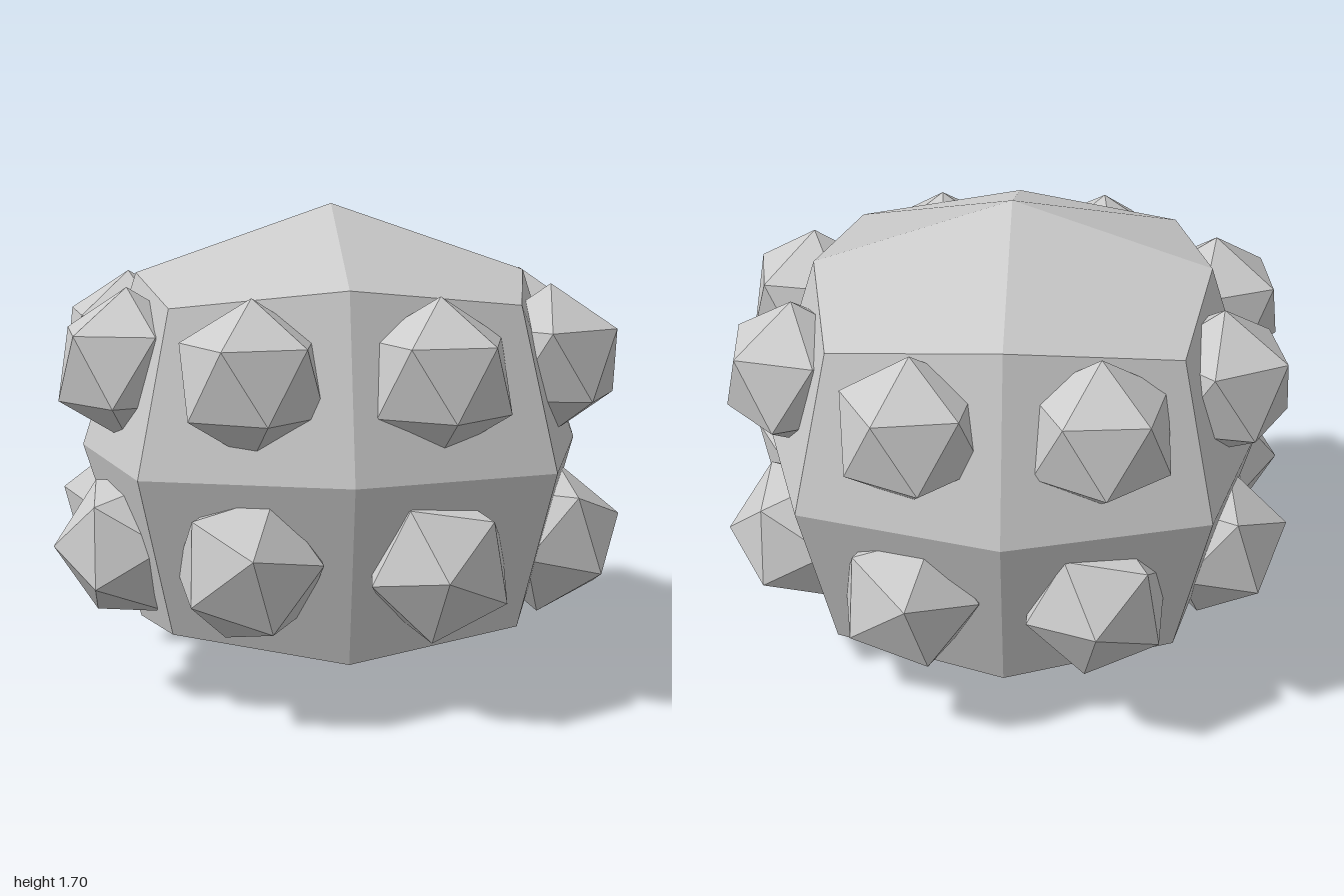
import * as THREE from 'three';

// Body corner for a cube direction: face centre, edge middle or cube corner
const across = [0, 0.9, 0.7, 0.59];
const up = [0, 0.863, 0.62, 0.555];
const down = [0, 0.835, 0.645, 0.555];
function bodyPoint(dir) {
  const n = dir.reduce((sum, c) => sum + Math.abs(c), 0);
  const height = dir[1] > 0 ? up : down;
  return new THREE.Vector3(dir[0] * across[n], dir[1] * height[n], dir[2] * across[n]);
}

// Rounded cube with four quads per face, each quad shaded as one facet
function bodyGeometry() {
  const positions = [], normals = [];
  for (let axis = 0; axis < 3; axis++)
    for (const s of [-1, 1]) for (const a of [-1, 1]) for (const b of [-1, 1]) {
      const point = (u, v) => {
        const dir = [0, 0, 0];
        dir[axis] = s;
        dir[(axis + 1) % 3] = u;
        dir[(axis + 2) % 3] = v;
        return bodyPoint(dir);
      };
      const quad = [point(0, 0), point(a, 0), point(a, b), point(0, b)];
      if (s * a * b < 0) quad.reverse();
      const normal = quad[2].clone().sub(quad[0])
        .cross(quad[3].clone().sub(quad[1])).normalize();
      // split from face centre to corner
      const order = s * a * b < 0 ? [1, 2, 3, 1, 3, 0] : [0, 1, 2, 0, 2, 3];
      for (const i of order) {
        positions.push(...quad[i].toArray());
        normals.push(...normal.toArray());
      }
    }
  const geometry = new THREE.BufferGeometry();
  geometry.setAttribute('position', new THREE.Float32BufferAttribute(positions, 3));
  geometry.setAttribute('normal', new THREE.Float32BufferAttribute(normals, 3));
  return geometry;
}

// Twenty-sided stud with one corner pointing straight up
const upright = () => new THREE.IcosahedronGeometry(0.268, 0)
  .rotateX(-Math.atan((1 + Math.sqrt(5)) / 2));

export function createModel() {
  const model = new THREE.Group();
  const bodyMat = new THREE.MeshStandardMaterial({ color: 0xcccccc });
  const studMat = new THREE.MeshStandardMaterial({ color: 0xcccccc, flatShading: true });

  const body = new THREE.Mesh(bodyGeometry(), bodyMat);
  body.name = 'body';
  body.position.set(-0.01, 0.837, -0.013);
  model.add(body);

  // The four studs of one side: upper pair upright, lower pair pointing outward
  const studs = [
    ['upperLeftStud', upright().rotateY(Math.PI + 0.16), -0.312, 1.17],
    ['upperRightStud', upright().rotateY(Math.PI + 0.1), 0.308, 1.17],
    ['lowerLeftStud', upright().rotateX(Math.PI / 2).rotateZ(2.8).rotateX(-0.3), -0.325, 0.54],
    ['lowerRightStud', upright().rotateX(Math.PI / 2).rotateZ(-0.15), 0.308, 0.535],
  ];

  // Repeat around the body: side name, distance outward, shift in x
  const sides = [['front', 0.7, -0.02], ['left', 0.735, -0.005],
    ['back', 0.705, -0.02], ['right', 0.735, -0.005]];
  sides.forEach(([name, distance, shift], i) => {
    const side = new THREE.Group();
    side.name = name + 'Studs';
    for (const [studName, geometry, x, y] of studs) {
      const stud = new THREE.Mesh(geometry, studMat);
      stud.name = studName;
      stud.position.set(x, y, distance);
      side.add(stud);
    }
    side.rotation.y = i * Math.PI / 2;
    side.position.x = shift;
    model.add(side);
  });
  return model;
}
